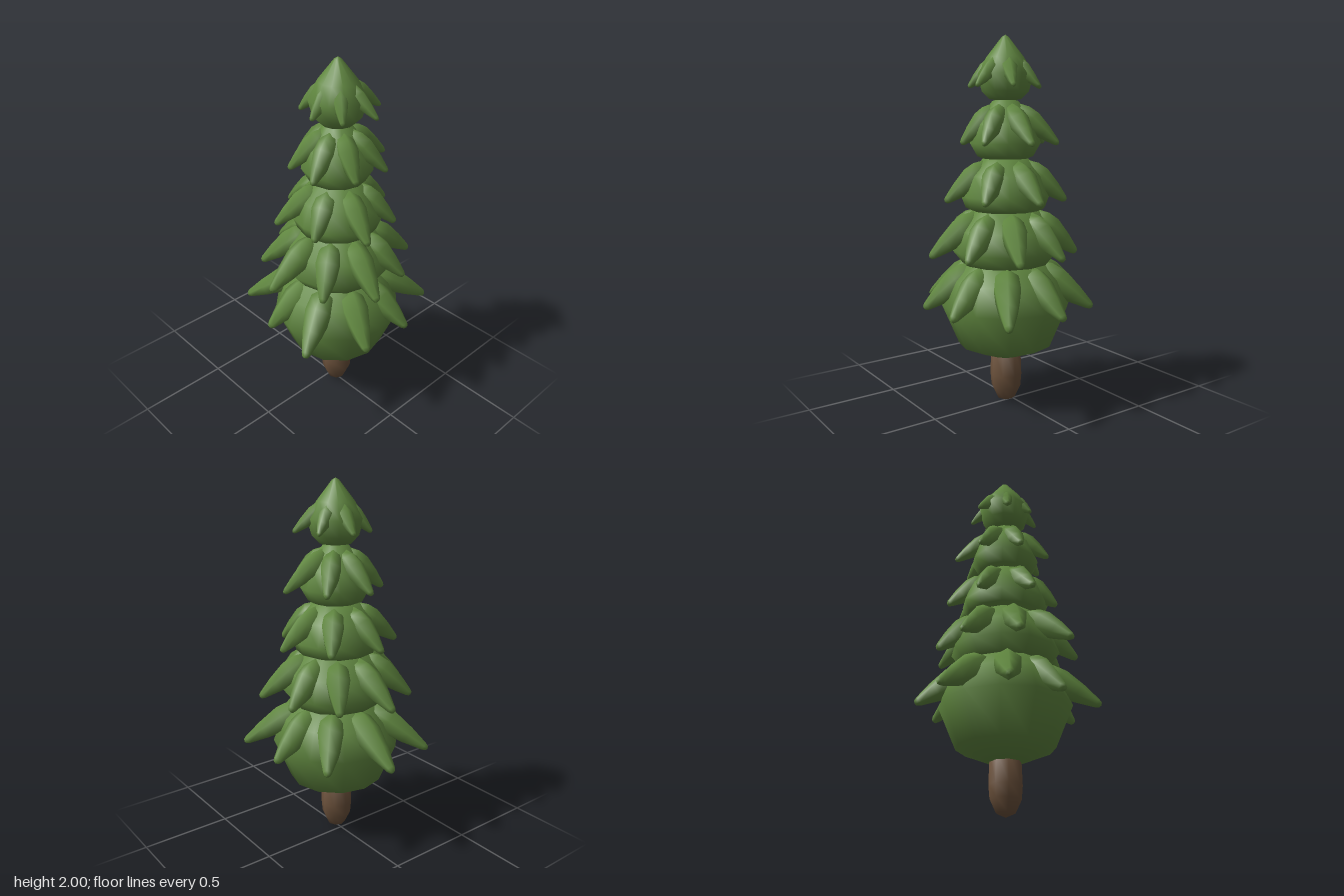
import * as THREE from 'three';

const green = new THREE.MeshStandardMaterial({ color: 0x618840 });
green.name = 'needle green';
const brown = new THREE.MeshStandardMaterial({ color: 0x6b513b });
brown.name = 'bark brown';

const CENTER_Z = 0.045;
const v2 = (pts) => pts.map(([x, y]) => new THREE.Vector2(x, y));

function lathe(name, pts, sides, material) {
  const mesh = new THREE.Mesh(new THREE.LatheGeometry(v2(pts), sides), material);
  mesh.name = name;
  return mesh;
}

// One drooping bough: a six-sided ridged spindle running from root to tip
function bough(angle, rootR, rootY, tipR, tipY, half) {
  const a = THREE.MathUtils.degToRad(angle);
  const out = new THREE.Vector3(Math.cos(a), 0, Math.sin(a));
  const root = out.clone().multiplyScalar(rootR).setY(rootY);
  const tip = out.clone().multiplyScalar(tipR).setY(tipY);
  const dir = tip.clone().sub(root);
  const len = dir.length();
  dir.normalize();
  const side = new THREE.Vector3().crossVectors(dir, new THREE.Vector3(0, 1, 0)).normalize();
  const up = new THREE.Vector3().crossVectors(side, dir);
  const profile = [[0, 0], [0.55, 0.02], [0.9, 0.18], [1, 0.38], [0.7, 0.68], [0.32, 0.94], [0.2, 0.985], [0, 1]];
  const geo = new THREE.LatheGeometry(v2(profile.map(([r, t]) => [r * half, t * len])), 6);
  geo.applyMatrix4(new THREE.Matrix4().makeBasis(side, dir, up).setPosition(root));
  const mesh = new THREE.Mesh(geo, green);
  mesh.name = 'bough';
  return mesh;
}

// Tiers from bottom to top: foliage profile, then the ring of boughs (reach = tip radius of each)
const tiers = [
  {
    profile: [[0, 0.27], [0.09, 0.275], [0.26, 0.345], [0.355, 0.57], [0.3, 0.71], [0.18, 0.84], [0, 0.87]],
    start: -7, root: [0.16, 0.775], tipY: 0.55, half: 0.078,
    reach: [0.45, 0.52, 0.44, 0.45, 0.5, 0.43, 0.525, 0.52, 0.475],
  },
  {
    profile: [[0, 0.76], [0.13, 0.765], [0.235, 0.795], [0.295, 0.87], [0.26, 0.98], [0.16, 1.11], [0, 1.14]],
    start: -15.5, root: [0.15, 1.055], tipY: 0.84, half: 0.071,
    reach: [0.39, 0.425, 0.385, 0.425, 0.39, 0.445, 0.415, 0.44, 0.385],
  },
  {
    profile: [[0, 1.05], [0.13, 1.06], [0.215, 1.095], [0.24, 1.16], [0.2, 1.27], [0.11, 1.37], [0, 1.39]],
    start: 3, root: [0.1, 1.325], tipY: 1.13, half: 0.065,
    reach: [0.345, 0.31, 0.335, 0.29, 0.335, 0.33, 0.325],
  },
  {
    profile: [[0, 1.33], [0.08, 1.34], [0.15, 1.37], [0.19, 1.44], [0.155, 1.54], [0.07, 1.66], [0, 1.68]],
    start: 8, root: [0.055, 1.625], tipY: 1.43, half: 0.058,
    reach: [0.305, 0.26, 0.24, 0.255, 0.25, 0.275, 0.285],
  },
  {
    profile: [[0, 1.655], [0.085, 1.67], [0.125, 1.71], [0.15, 1.8], [0.1, 1.885], [0.018, 1.99], [0, 2]],
    start: 23.8, root: [0.045, 1.875], tipY: 1.725, half: 0.043,
    reach: [0.225, 0.225, 0.195, 0.18, 0.19, 0.21, 0.2],
  },
];

export function createModel() {
  const tree = new THREE.Group();
  tree.name = 'fir tree';

  // Trunk with a blunt pointed foot
  const trunk = lathe('trunk', [[0, 0], [0.05, 0.022], [0.082, 0.09], [0.088, 0.16], [0.082, 0.32], [0, 0.34]], 8, brown);
  trunk.position.z = CENTER_Z;
  tree.add(trunk);

  // Stacked foliage tiers, each skirted with boughs
  tiers.forEach(({ profile, start, root, tipY, half, reach }, i) => {
    const tier = new THREE.Group();
    tier.name = 'foliageTier' + (i + 1);
    tier.position.z = CENTER_Z;
    tier.add(lathe('foliage', profile, 12, green));
    reach.forEach((r, k) => {
      tier.add(bough(start + (k * 360) / reach.length, root[0], root[1], r, tipY + 0.005, half));
    });
    tree.add(tier);
  });
  return tree;
}
